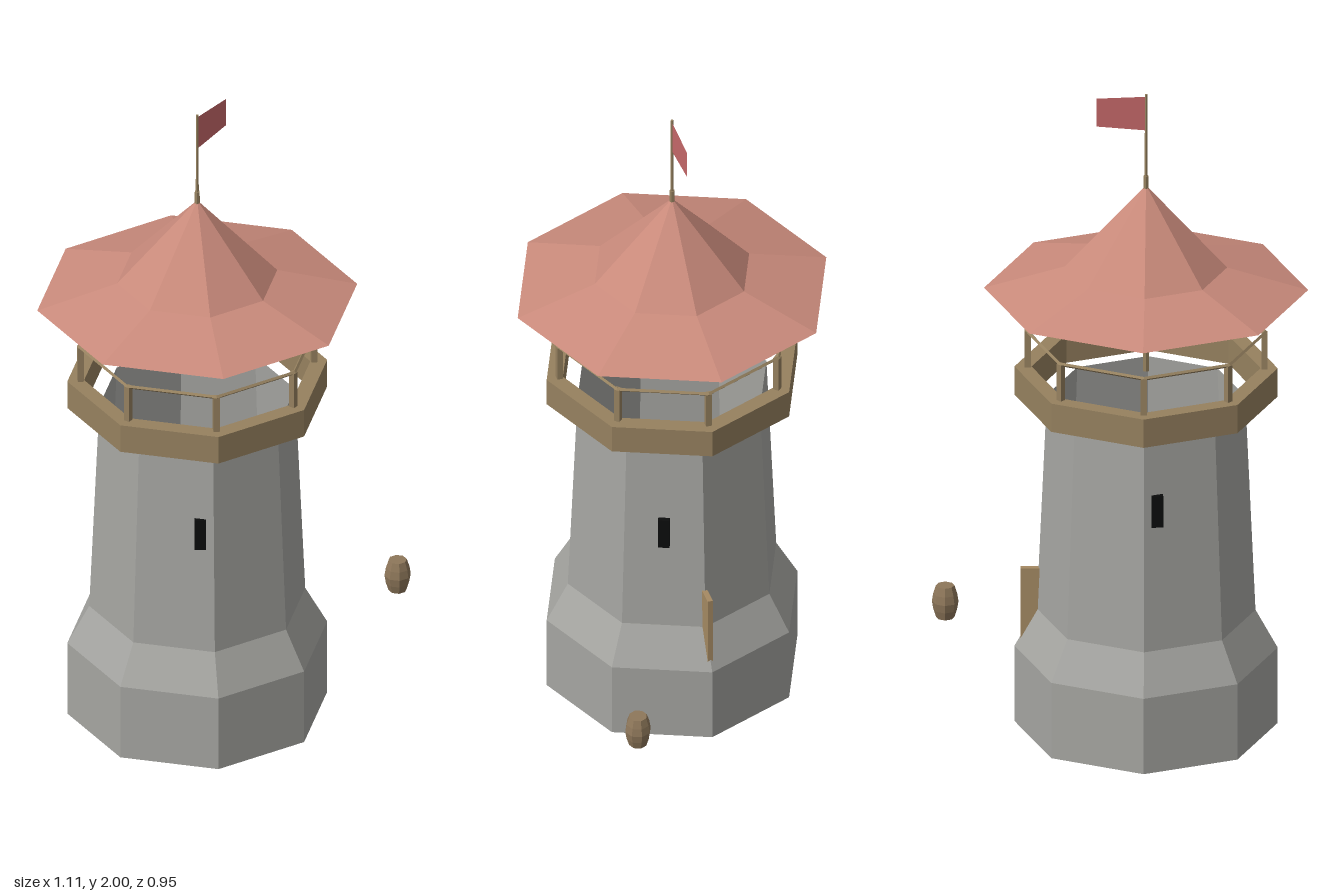
import * as THREE from 'three';

const AXIS_X = -0.08; // tower axis
const SIDES = 8;

function material(name, color, doubleSided = false) {
  const m = new THREE.MeshStandardMaterial({ color, flatShading: true });
  m.name = name;
  if (doubleSided) m.side = THREE.DoubleSide;
  return m;
}

function add(parent, name, geometry, mat, x = 0, y = 0, z = 0) {
  const mesh = new THREE.Mesh(geometry, mat);
  mesh.name = name;
  mesh.position.set(x, y, z);
  parent.add(mesh);
  return mesh;
}

// Octagonal surface from a [radius, height] profile
function octagon(profile) {
  return new THREE.LatheGeometry(profile.map(([r, y]) => new THREE.Vector2(r, y)), SIDES);
}

export function createModel() {
  const stone = material('stone', 0xa5a5a1, true);
  const wood = material('wood', 0x96815f);
  const tile = material('roof tile', 0xc98a7b, true);
  const cloth = material('flag cloth', 0xc7696a, true);
  const dark = material('window dark', 0x0b0c0c);
  const barrelWood = material('barrel wood', 0x8e775a);
  const doorWood = material('door wood', 0xa58a63);

  const model = new THREE.Group();
  model.name = 'watchtower';
  const tower = new THREE.Group();
  tower.name = 'tower';
  tower.position.x = AXIS_X;
  model.add(tower);

  // Hollow stone walls, open at both ends
  add(tower, 'walls', octagon([[0.385, 0], [0.385, 0.24], [0.32, 0.36], [0.29, 1.04]]), stone);

  // Wooden gallery ring
  add(tower, 'galleryRing', octagon([
    [0.335, 1.04], [0.385, 1.04], [0.385, 1.13], [0.335, 1.13], [0.335, 1.04],
  ]), wood);

  // Railing: a post at each corner and a thin top rail
  const railing = new THREE.Group();
  railing.name = 'railing';
  tower.add(railing);
  for (let i = 0; i < SIDES; i++) {
    const a = (i / SIDES) * Math.PI * 2;
    const post = add(railing, 'railingPost', new THREE.BoxGeometry(0.018, 0.12, 0.018), wood,
      Math.cos(a) * 0.346, 1.185, Math.sin(a) * 0.346);
    post.rotation.y = -a;
  }
  const rail = add(railing, 'topRail', new THREE.TorusGeometry(0.35, 0.006, 4, SIDES), wood, 0, 1.245, 0);
  rail.rotation.x = Math.PI / 2;

  // Flared roof, open underneath
  add(tower, 'roof', octagon([[0.474, 1.38], [0.237, 1.45], [0, 1.71]]), tile);

  // Centre pole, flagstaff and flag
  add(tower, 'centrePole', new THREE.CylinderGeometry(0.008, 0.01, 0.62, 6), wood, 0, 1.43, 0);
  add(tower, 'flagstaff', new THREE.CylinderGeometry(0.004, 0.005, 0.28, 6), wood, 0, 1.86, 0);
  const flag = new THREE.Shape([
    new THREE.Vector2(0, 1.885), new THREE.Vector2(0.145, 1.896),
    new THREE.Vector2(0.145, 1.985), new THREE.Vector2(0, 1.992),
  ]);
  add(tower, 'flag', new THREE.ShapeGeometry(flag), cloth);

  // Slit windows spiralling up the wall
  for (let i = 0; i < 3; i++) {
    const a = THREE.MathUtils.degToRad(22.5 + 120 * i);
    const slit = add(tower, 'window', new THREE.BoxGeometry(0.015, 0.1, 0.034), dark,
      Math.cos(a) * 0.29, 0.697 + 0.05 * i, Math.sin(a) * 0.29);
    slit.rotation.y = -a;
  }

  // Door panel standing edge-on in the wall
  add(model, 'door', new THREE.BoxGeometry(0.12, 0.25, 0.016), doorWood, 0.227, 0.365, 0);

  // Barrel beside the tower
  add(model, 'barrel', octagon([
    [0, 0.202], [0.027, 0.202], [0.035, 0.228], [0.039, 0.253],
    [0.035, 0.278], [0.027, 0.303], [0, 0.303],
  ]), barrelWood, 0.513, 0, 0.295);

  return model;
}
